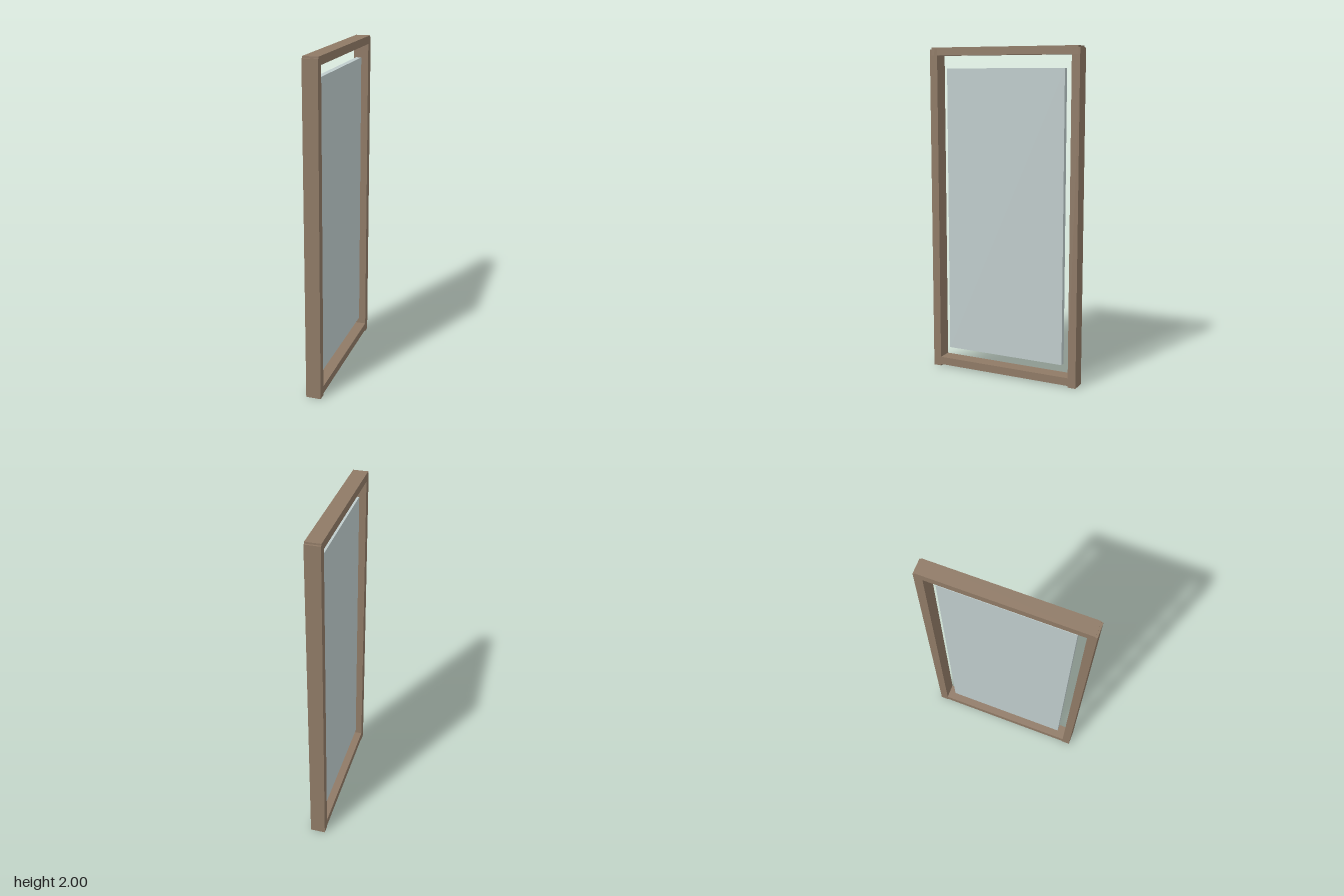
import * as THREE from 'three';

export function createModel() {
  const group = new THREE.Group();
  const wood = new THREE.MeshStandardMaterial({ color: 0x8f7a66 });
  const glass = new THREE.MeshStandardMaterial({ color: 0xbfcccc });

  // Box given by its thickness in x, its y range and its z range
  function box(name, material, depth, y0, y1, z0, z1) {
    const mesh = new THREE.Mesh(new THREE.BoxGeometry(depth, y1 - y0, z1 - z0), material);
    mesh.position.set(0, (y0 + y1) / 2, (z0 + z1) / 2);
    mesh.name = name;
    group.add(mesh);
  }

  const depth = 0.09;

  // Upright posts
  box('frontPost', wood, depth, 0, 1.99, 0.436, 0.486);
  box('backPost', wood, depth, 0, 1.99, -0.486, -0.436);

  // Rails, let into the posts
  box('topRail', wood, depth, 1.952, 2, -0.475, 0.475);
  box('bottomRail', wood, depth, 0.01, 0.058, -0.475, 0.475);

  // Pane floating inside the frame with a gap all round
  box('glassPane', glass, 0.033, 0.122, 1.876, -0.384, 0.384);

  return group;
}
